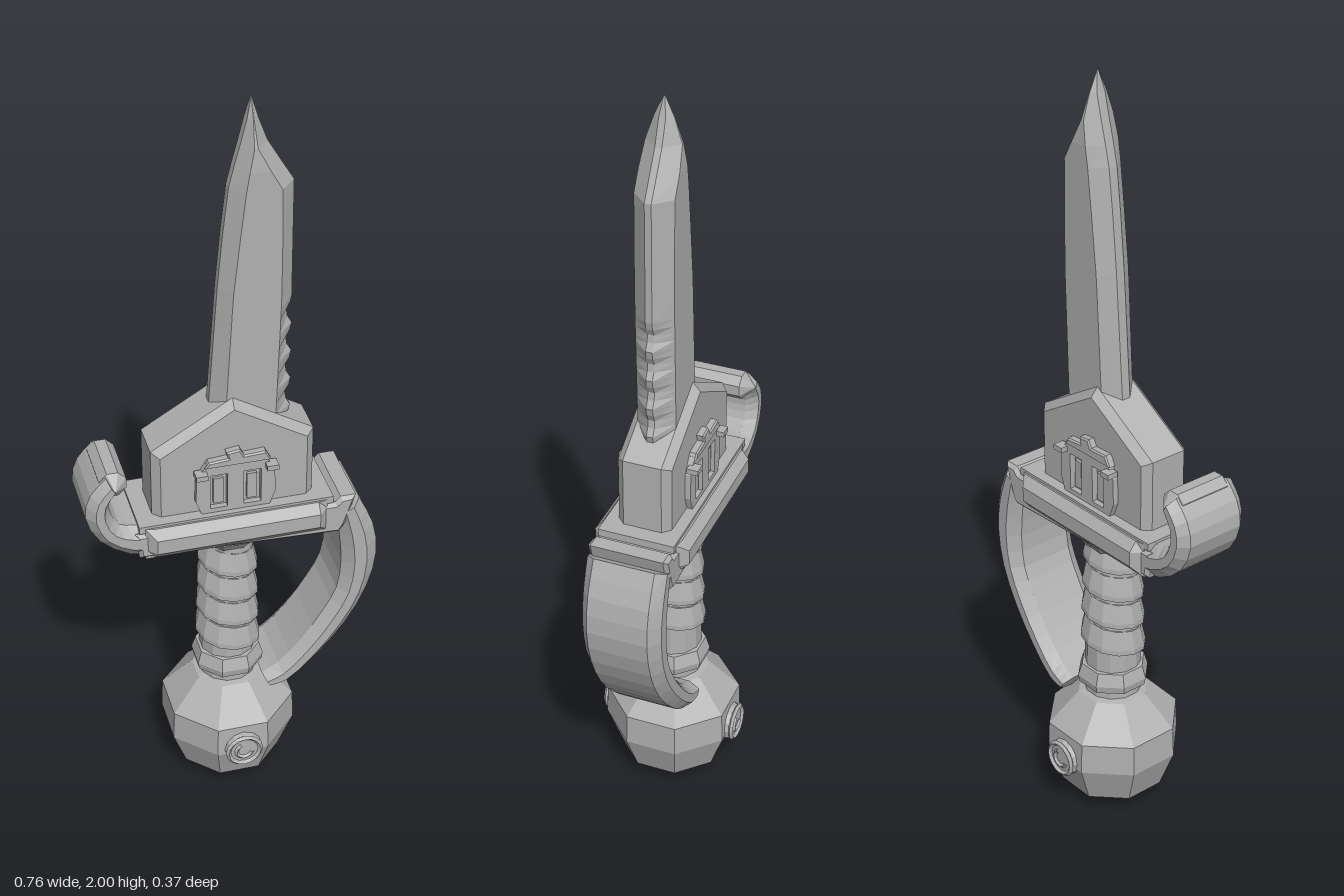
import * as THREE from 'three';

const steel = new THREE.MeshStandardMaterial({ color: 0xb0b0b0, flatShading: true });
steel.name = 'grey';

const V = (x, y, z) => new THREE.Vector3(x, y, z);

function add(parent, name, geometry, x = 0, y = 0, z = 0) {
  const mesh = new THREE.Mesh(geometry, steel);
  mesh.name = name;
  mesh.position.set(x, y, z);
  parent.add(mesh);
  return mesh;
}

// Skin a row of equal-sized rings, cap both ends, and turn all faces outwards.
function loft(rings) {
  const tris = [];
  const n = rings[0].length;
  for (let i = 0; i < rings.length - 1; i++) {
    for (let j = 0; j < n; j++) {
      const k = (j + 1) % n;
      const [a, b, c, d] = [rings[i][j], rings[i][k], rings[i + 1][k], rings[i + 1][j]];
      tris.push([a, b, c], [a, c, d]);
    }
  }
  const first = rings[0], last = rings[rings.length - 1];
  for (let j = 1; j < n - 1; j++) {
    tris.push([first[0], first[j + 1], first[j]], [last[0], last[j], last[j + 1]]);
  }
  let volume = 0;
  for (const [a, b, c] of tris) volume += a.dot(b.clone().cross(c));
  const points = tris.flatMap(([a, b, c]) => (volume < 0 ? [a, c, b] : [a, b, c]));
  const geometry = new THREE.BufferGeometry().setFromPoints(points);
  geometry.computeVertexNormals();
  return geometry;
}

// Wide bevelled strip between an outer and an inner curve.
function strip(outer, inner, steps) {
  const curve = pts => new THREE.CatmullRomCurve3(pts.map(p => V(p[0], p[1], 0)));
  const o = curve(outer), i = curve(inner), rings = [];
  for (let s = 0; s <= steps; s++) {
    const a = o.getPoint(s / steps), b = i.getPoint(s / steps);
    const at = (t, z) => { const p = a.clone().lerp(b, t); p.z = z; return p; };
    rings.push([at(0, 0.08), at(0.35, 0.105), at(0.7, 0.105), at(1, 0.075),
      at(1, -0.075), at(0.7, -0.105), at(0.35, -0.105), at(0, -0.08)]);
  }
  return loft(rings);
}

function lathe(profile, sides) {
  return new THREE.LatheGeometry(profile.map(p => new THREE.Vector2(...p)), sides, Math.PI / sides);
}

const shape = pts => new THREE.Shape(pts.map(p => new THREE.Vector2(...p)));

function bevelled(outline, depth, bevel) {
  const g = new THREE.ExtrudeGeometry(outline, {
    depth: depth - 2 * bevel, bevelEnabled: true, bevelSegments: 1,
    bevelSize: bevel, bevelThickness: bevel, bevelOffset: -bevel, curveSegments: 4
  });
  return g.translate(0, 0, bevel);
}

function bladeGeometry() {
  // y, cutting edge, inner left, inner right, serrated edge, half thickness
  const rows = [[1.1, -0.055, -0.02, 0.108, 0.145, 0.05]];
  for (let i = 0; i <= 16; i++) {
    const y = 1.15 + i * 0.02;
    const wave = [0, 0.011, 0.014, 0.004][i % 4];
    rows.push([y, -0.053 + i * 0.0014, -0.018 + i * 0.0011, 0.11 + i * 0.0006, 0.158 - wave, 0.05]);
  }
  rows.push([1.52, -0.027, 0.003, 0.12, 0.157, 0.05], [1.66, -0.014, 0.018, 0.12, 0.157, 0.05],
    [1.78, 0, 0.032, 0.118, 0.157, 0.05], [1.83, 0.012, 0.04, 0.09, 0.127, 0.05],
    [1.89, 0.028, 0.052, 0.06, 0.092, 0.045], [1.95, 0.043, 0.054, 0.056, 0.07, 0.025],
    [2, 0.054, 0.055, 0.055, 0.056, 0.002]);
  return loft(rows.map(([y, a, b, c, d, z]) => {
    const e = Math.min(0.012, z);
    return [V(a, y, e), V(b, y, z), V(c, y, z), V(d, y, e * 0.7),
      V(d, y, -e * 0.7), V(c, y, -z), V(b, y, -z), V(a, y, -e)];
  }));
}

// Raised window badge and pommel medallion for one face.
function faceDetails(name) {
  const g = new THREE.Group();
  g.name = name;
  const body = shape([[-0.085, 0.905], [0.085, 0.905], [0.102, 0.95], [0.1, 1.02], [0.075, 1.06],
    [-0.075, 1.06], [-0.1, 1.02], [-0.102, 0.95]]);
  for (const s of [-1, 1]) {
    const x = s * 0.043;
    body.holes.push(new THREE.Path([[-0.022, 0.925], [-0.022, 1.025], [0.022, 1.025], [0.022, 0.925]]
      .map(p => new THREE.Vector2(x + p[0], p[1]))));
    add(g, 'windowSill', new THREE.BoxGeometry(0.025, 0.075, 0.012), x, 0.972, 0.072);
    add(g, 'badgeEar', new THREE.BoxGeometry(0.03, 0.014, 0.03), s * 0.09, 1.035, 0.09);
  }
  add(g, 'badgeBody', new THREE.ExtrudeGeometry(body, { depth: 0.025, bevelEnabled: false }), 0, 0, 0.06);
  add(g, 'badgeCap', bevelled(shape([[-0.08, 1.05], [0.09, 1.05], [0.075, 1.078], [0.02, 1.075],
    [0.01, 1.095], [-0.025, 1.09], [-0.02, 1.072], [-0.07, 1.068]]), 0.03, 0.004), 0, 0, 0.06);

  add(g, 'medallion', new THREE.CylinderGeometry(0.046, 0.052, 0.02, 12).rotateX(Math.PI / 2), 0, 0.17, 0.17);
  add(g, 'medallionRim', new THREE.TorusGeometry(0.044, 0.007, 4, 16), 0, 0.17, 0.18);
  add(g, 'medallionCrescent', new THREE.TorusGeometry(0.022, 0.006, 4, 8, 4).rotateZ(2), 0, 0.17, 0.181);
  return g;
}

export function createModel() {
  const model = new THREE.Group();
  model.name = 'sword';

  add(model, 'blade', bladeGeometry());

  // Gabled block at the foot of the blade
  add(model, 'bladeBlock', bevelled(shape([[-0.207, 0.89], [0.207, 0.89], [0.207, 1.1],
    [0, 1.225], [-0.207, 1.1]]), 0.14, 0.02), 0, 0, -0.07);

  // Crossguard: core, bevelled sides and top ledge
  const core = shape([[-0.25, 0.815], [0.27, 0.795], [0.285, 0.82], [0.31, 0.905], [0.27, 0.905],
    [0.255, 0.89], [-0.26, 0.89]]);
  add(model, 'crossguardCore', bevelled(core, 0.21, 0.01), 0, 0, -0.105);
  const guardRing = (x, grow) => [[0.905, 0.105], [0.88, 0.125], [0.84, 0.125], [0.812, 0.1],
    [0.812, -0.1], [0.84, -0.125], [0.88, -0.125], [0.905, -0.105]]
    .map(([y, z]) => V(x, y, Math.sign(z) * Math.min(Math.abs(z), grow)));
  add(model, 'crossguardSides', loft([guardRing(-0.235, 0.1), guardRing(-0.21, 0.125),
    guardRing(0.21, 0.125), guardRing(0.235, 0.1)]));
  add(model, 'crossguardLedge', new THREE.BoxGeometry(0.5, 0.02, 0.2), 0, 0.902, 0);

  // Curled hook on one end of the guard
  add(model, 'hook', strip(
    [[-0.2, 0.81], [-0.27, 0.82], [-0.345, 0.875], [-0.38, 0.955], [-0.365, 1.02], [-0.325, 1.065]],
    [[-0.2, 0.9], [-0.255, 0.905], [-0.295, 0.915], [-0.315, 0.95], [-0.318, 0.985], [-0.3, 1.02]], 10));
  add(model, 'hookCurl', lathe([[0, -0.105], [0.037, -0.072], [0.037, 0.072], [0, 0.105]], 8)
    .rotateX(Math.PI / 2), -0.307, 1.037, 0);

  // Knuckle guard sweeping down to the pommel
  add(model, 'knuckleGuard', strip(
    [[0.325, 0.88], [0.365, 0.79], [0.378, 0.69], [0.355, 0.58], [0.3, 0.47], [0.22, 0.37], [0.14, 0.3], [0.1, 0.3]],
    [[0.265, 0.85], [0.277, 0.77], [0.285, 0.68], [0.275, 0.59], [0.24, 0.52], [0.18, 0.43], [0.12, 0.365], [0.075, 0.34]], 14));

  // Grip with collars and a spiral wrap
  add(model, 'grip', lathe([[0, 0.33], [0.076, 0.33], [0.07, 0.6], [0.065, 0.82], [0, 0.82]], 12));
  add(model, 'lowerCollar', lathe([[0, 0.355], [0.092, 0.355], [0.096, 0.375], [0.085, 0.41], [0, 0.415]], 8));
  add(model, 'upperCollar', lathe([[0, 0.765], [0.068, 0.765], [0.092, 0.795], [0.092, 0.82], [0, 0.82]], 8));
  const wrap = [];
  for (let i = 0; i <= 48; i++) {
    const a = i / 12 * Math.PI * 2, y = 0.42 + i * 0.0067, r = 0.075 - i * 0.0002;
    const at = (dr, dy) => V((r + dr) * Math.cos(a), y + dy, (r + dr) * Math.sin(a));
    wrap.push([at(-0.015, 0), at(0.012, 0.004), at(0.012, 0.018), at(0.001, 0.07), at(-0.015, 0.07)]);
  }
  add(model, 'gripWrap', loft(wrap));

  // Faceted pommel
  add(model, 'pommel', lathe([[0, 0.003], [0.14, 0.05], [0.18, 0.155], [0.177, 0.24], [0.095, 0.325], [0, 0.347]], 8));

  // Matching details on both faces
  model.add(faceDetails('frontDetails'));
  const back = faceDetails('backDetails');
  back.rotation.y = Math.PI;
  model.add(back);
  return model;
}
